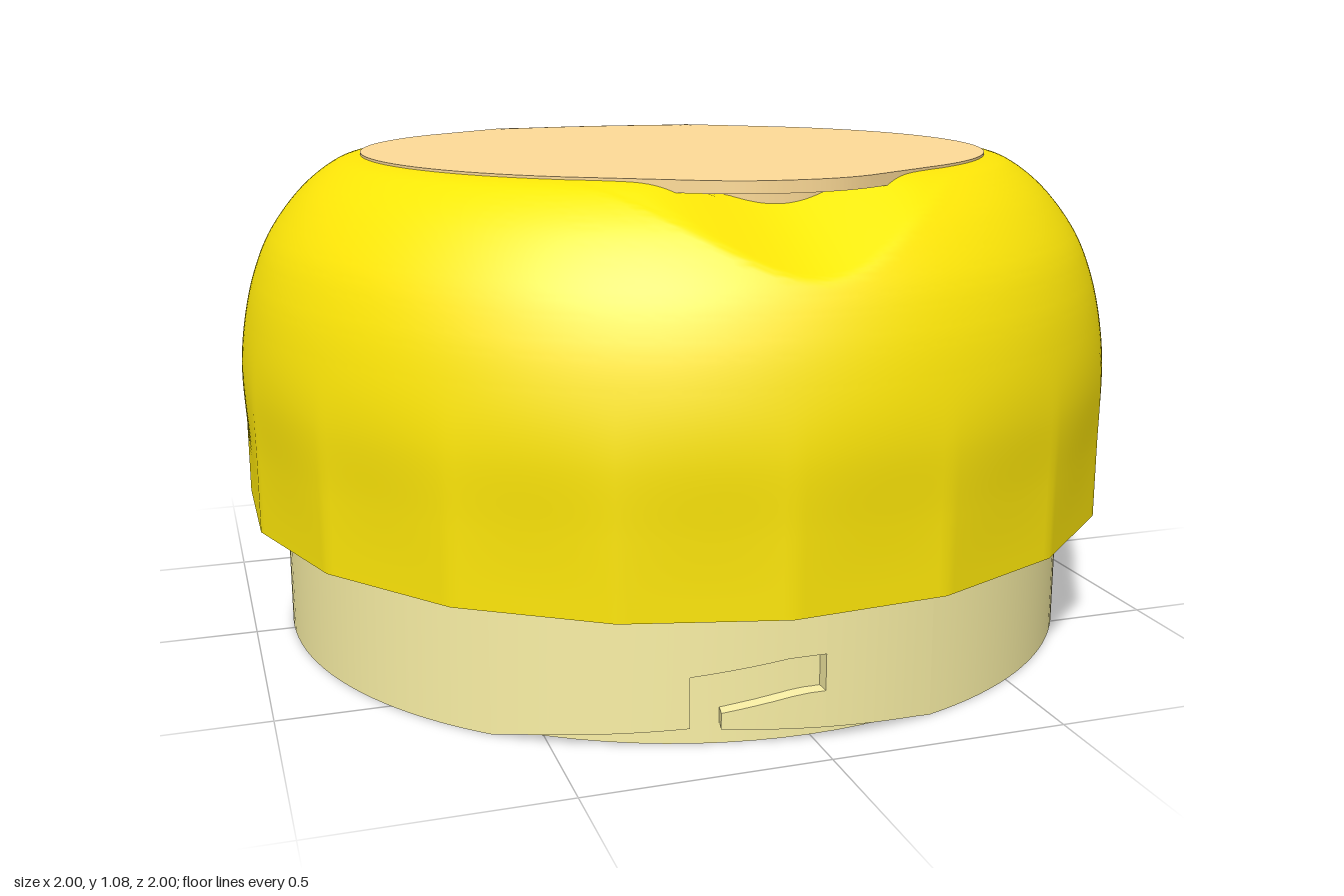
import * as THREE from 'three';
import { toCreasedNormals } from 'three/addons/utils/BufferGeometryUtils.js';

const V2 = (x, y) => new THREE.Vector2(x, y);
const { lerp, smoothstep, degToRad } = THREE.MathUtils;
const mat = (color) => new THREE.MeshStandardMaterial({ color, side: THREE.DoubleSide });
const yellow = mat(0xffe808), cream = mat(0xfbf1a6), tan = mat(0xffdc98);

function add(parent, name, geometry, material) {
  const mesh = new THREE.Mesh(geometry, material);
  mesh.name = name;
  parent.add(mesh);
  return mesh;
}

// A box whose corners (u, v, w in 0..1) are bent by a rule
function slab(nu, nv, rule) {
  const g = new THREE.BoxGeometry(1, 1, 1, nu, nv, 1);
  const p = g.attributes.position;
  for (let i = 0; i < p.count; i++) {
    p.setXYZ(i, ...rule(p.getX(i) + 0.5, p.getY(i) + 0.5, p.getZ(i) + 0.5));
  }
  g.computeVertexNormals();
  return g;
}

// Outer dome profile (radius, height)
const domeCurve = new THREE.SplineCurve([
  V2(1, 0.29), V2(1, 0.45), V2(1, 0.6), V2(0.985, 0.72), V2(0.96, 0.82),
  V2(0.92, 0.91), V2(0.85, 1.0), V2(0.77, 1.06), V2(0.7, 1.077)]);
const domePoints = domeCurve.getPoints(96);

function domeRadius(y) {
  const found = domePoints.findIndex((q) => q.y >= y);
  const i = found < 0 ? domePoints.length - 1 : Math.max(1, found);
  const a = domePoints[i - 1], b = domePoints[i];
  return lerp(a.x, b.x, (y - a.y) / (b.y - a.y));
}

// Height of the finger scoop: a bell-shaped rim sloping up towards the lid
function scoopHeight(x, z) {
  const rim = 0.91 + 0.166 * smoothstep(Math.abs(x), 0, 0.42);
  const r = domeRadius(rim);
  const rimZ = Math.sqrt(Math.max(0, r * r - x * x));
  return rim + 0.48 * Math.max(0, rimZ - z);
}

function domeGeometry() {
  const inner = [V2(0, 0.85), V2(0.6, 0.85), V2(0.84, 0.76), V2(0.92, 0.62), V2(0.96, 0.45), V2(0.96, 0.29)];
  const top = [V2(0.69, 1.05)];
  for (let r = 0.66; r > 0.3; r -= 0.03) top.push(V2(r, 1.05));
  top.push(V2(0, 1.05));
  const g = new THREE.LatheGeometry([...inner, ...domePoints, ...top], 304, Math.PI / 2);
  const p = g.attributes.position;
  const step = Math.PI * 2 / 19;
  for (let i = 0; i < p.count; i++) {
    let x = p.getX(i), y = p.getY(i), z = p.getZ(i);
    const r = Math.hypot(x, z), a = Math.atan2(x, z) - Math.PI / 2;
    // the skirt fades from round into nineteen flats
    const turn = a / step - Math.floor(a / step) - 0.5;
    const flat = Math.cos(step / 2) / Math.cos(turn * step);
    let k = lerp(flat, 1, smoothstep(y, 0.32, 0.72));
    // recess behind the hinge strap
    if (z < 0 && Math.abs(x) < 0.268 && r > 0.86 && y > 0.855) k *= 0.93;
    x *= k;
    z *= k;
    // finger scoop, blended softly into the dome
    if (z > 0.2 && y > 0.86 && Math.abs(x) < 0.45) {
      const s = scoopHeight(x, z);
      const h = Math.max(0, 1 - Math.abs(s - y) / 0.012);
      y = Math.min(y, s) - h * h * 0.003 * (1 - smoothstep(Math.abs(x), 0.3, 0.42));
    }
    p.setXYZ(i, x, y, z);
  }
  return toCreasedNormals(g, 0.4);
}

function lidShape(scale) {
  const s = new THREE.Shape();
  const q = (x, y) => [x * scale, y * scale];
  s.moveTo(...q(0, -0.775));
  s.bezierCurveTo(...q(0.07, -0.775), ...q(0.11, -0.765), ...q(0.17, -0.735));
  s.lineTo(...q(0.4, -0.593));
  s.absarc(0, 0, 0.715 * scale, -0.977, 0.846, false);
  s.lineTo(...q(0.265, 0.695));
  s.lineTo(...q(-0.265, 0.695));
  s.absarc(0, 0, 0.715 * scale, Math.PI - 0.846, Math.PI + 0.977, false);
  s.lineTo(...q(-0.17, -0.735));
  s.bezierCurveTo(...q(-0.11, -0.765), ...q(-0.07, -0.775), ...q(0, -0.775));
  return s;
}

function lidGeometry(scale, y0, y1) {
  const g = new THREE.ExtrudeGeometry(lidShape(scale), { depth: y1 - y0, bevelEnabled: false, curveSegments: 48 });
  g.rotateX(-Math.PI / 2).translate(0, y0, 0);
  return toCreasedNormals(g, 0.4);
}

// Curved plate following the dome, facing +z; lift is its height off the dome
function domePlate(x0, x1, y0, y1, lift) {
  return slab(16, 12, (u, v, w) => {
    const x = lerp(x0, x1, u), y = lerp(y0, y1, v);
    const r = domeRadius(y) + lift - 0.035 * (1 - w);
    return [x, y, Math.sqrt(r * r - x * x)];
  });
}

// Curved plate of the collar wall; s is the distance round the rim
const R = 0.915;
function wallPlate(start, s0, s1, bottom, top) {
  const n = Math.max(6, Math.ceil((s1 - s0) / 0.04));
  return slab(n, 1, (u, v, w) => {
    const s = lerp(s0, s1, u), a = start + s / R, r = lerp(0.87, R, w);
    return [r * Math.sin(a), lerp(bottom(s), top(s), v), r * Math.cos(a)];
  });
}

export function createModel() {
  const model = new THREE.Group();

  // Dome and lid
  add(model, 'dome', domeGeometry(), yellow);
  add(model, 'lid', lidGeometry(1, 1.055, 1.08), tan);
  add(model, 'lidPlug', lidGeometry(0.88, 0.97, 1.06), tan);

  // Hinge at the back
  const hinge = new THREE.Group();
  hinge.name = 'hinge';
  hinge.rotation.y = Math.PI;
  model.add(hinge);
  const strapCurve = new THREE.SplineCurve([
    V2(0.89, 0.885), V2(0.888, 0.93), V2(0.86, 1.0), V2(0.8, 1.058), V2(0.72, 1.079), V2(0.64, 1.079)]);
  add(hinge, 'strap', slab(16, 28, (u, v, w) => {
    const q = strapCurve.getPoint(v), x = lerp(-0.265, 0.265, u), d = 0.045 * (1 - w);
    return [x, q.y - d * v, q.x - d - 0.4 * x * x];
  }), tan);
  add(hinge, 'hingePlate', domePlate(-0.33, 0.33, 0.68, 0.86, 0.004), cream);
  add(hinge, 'hingePocket', domePlate(-0.27, 0.27, 0.85, 0.97, -0.045), cream);
  for (const side of [-1, 1]) {
    add(hinge, 'hingeArm', domePlate(side * 0.2975 - 0.0325, side * 0.2975 + 0.0325, 0.86, 1.012, 0.004), cream);
  }

  // Collar core: stepped bore with a ceiling
  const core = new THREE.LatheGeometry([
    V2(0.85, 0), V2(0.885, 0), V2(0.885, 0.58), V2(0, 0.58),
    V2(0, 0.49), V2(0.766, 0.49), V2(0.766, 0.27), V2(0.85, 0.27), V2(0.85, 0)], 96);
  add(model, 'collarCore', toCreasedNormals(core, 0.5), cream);

  // Collar wall with three bayonet slots, each opening at the rim
  const collar = new THREE.Group();
  collar.name = 'collarWall';
  model.add(collar);
  const wallTop = () => 0.55;
  const leftRamp = (s) => 0.045 * Math.pow((s + 0.65) / 0.4, 0.8);
  const rightRamp = (s) => 0.042 * Math.pow((0.27 - s) / 0.46, 0.8);
  const channelTop = (s) => 0.15 + 0.028 * Math.min(1, (s + 0.25) / 0.2);
  const channelBottom = (s) => 0.075 + 0.027 * Math.min(1, (s + 0.19) / 0.16);
  const starts = [0, 108, 250].map(degToRad);
  starts.forEach((a, i) => {
    const next = i < 2 ? starts[i + 1] : Math.PI * 2;
    const plates = [
      [-0.65, -0.25, leftRamp, wallTop],
      [-0.25, 0.02, channelTop, wallTop],
      [-0.19, 0.02, rightRamp, channelBottom],
      [0.02, 0.27, rightRamp, wallTop],
      [0.27, (next - a) * R - 0.65, () => 0, wallTop]];
    for (const plate of plates) add(collar, 'collarPlate', wallPlate(a, ...plate), cream);
  });

  // Small pegs under the ceiling
  for (const [x, z] of [[-0.12, 0.63], [0.22, 0.61]]) {
    const peg = add(model, 'peg', new THREE.CylinderGeometry(0.05, 0.045, 0.04, 24), cream);
    peg.position.set(x, 0.472, z);
  }
  return model;
}
